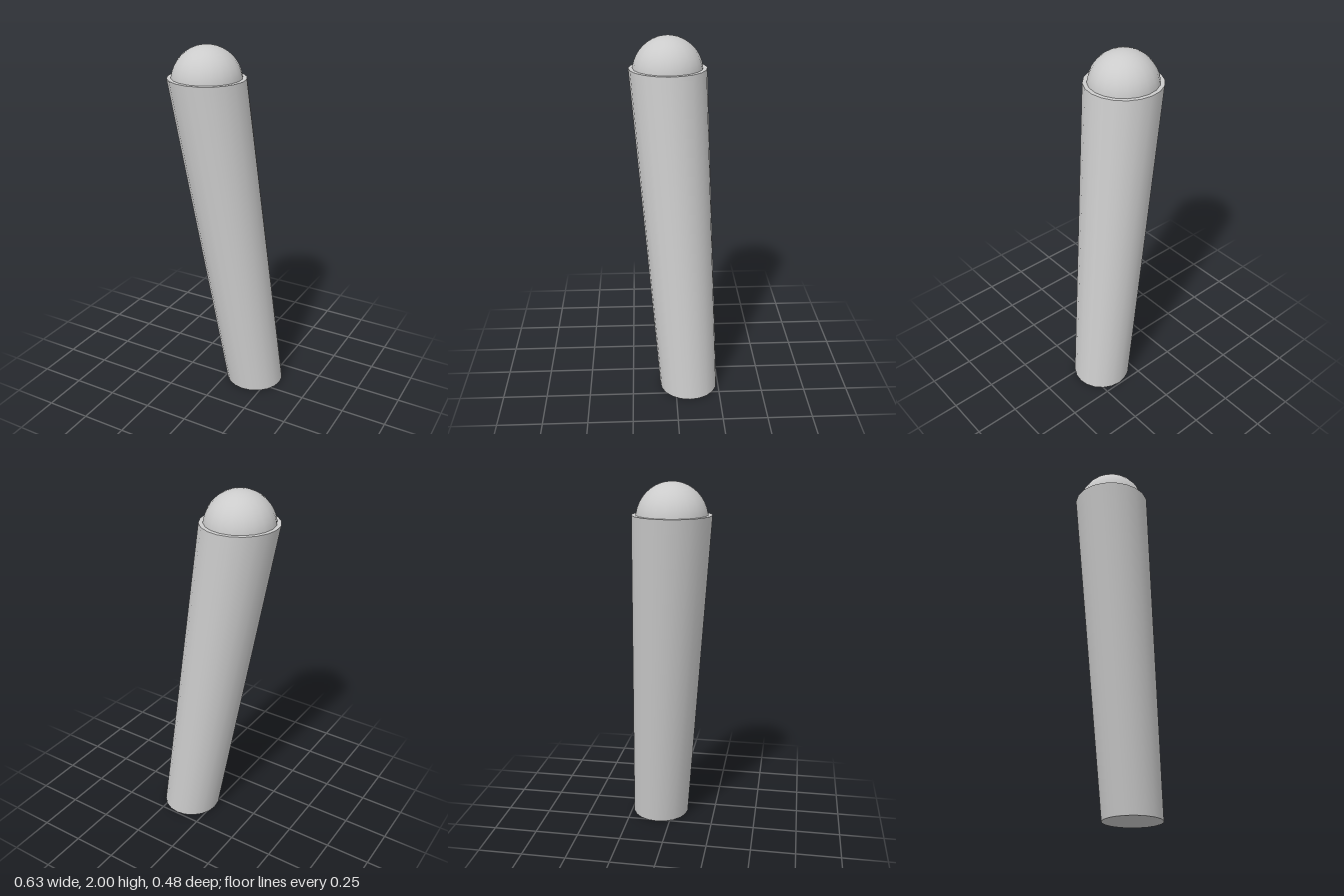
import * as THREE from 'three';

const SIDES = 20;
const HEIGHT = 1.83;
const BASE = { x: 0.15, z: -0.077 };
const TOP = { x: -0.105, z: 0.03 };

export function createModel() {
  const group = new THREE.Group();
  group.name = 'leaningPost';
  const material = new THREE.MeshStandardMaterial({ color: 0xcccccc });

  // Tapered shaft, sheared so both ends stay level
  const shaftGeometry = new THREE.CylinderGeometry(0.211, 0.166, HEIGHT, SIDES);
  shaftGeometry.translate(0, HEIGHT / 2, 0);
  const shear = new THREE.Matrix4().set(
    1, (TOP.x - BASE.x) / HEIGHT, 0, BASE.x,
    0, 1, 0, 0,
    0, (TOP.z - BASE.z) / HEIGHT, 1, BASE.z,
    0, 0, 0, 1
  );
  shaftGeometry.applyMatrix4(shear);
  const shaft = new THREE.Mesh(shaftGeometry, material);
  shaft.name = 'shaft';
  group.add(shaft);

  // Ball seated in the upper end
  const ball = new THREE.Mesh(new THREE.SphereGeometry(0.19, SIDES, 20), material);
  ball.name = 'ballTip';
  ball.position.set(TOP.x, 1.81, TOP.z);
  group.add(ball);

  return group;
}
